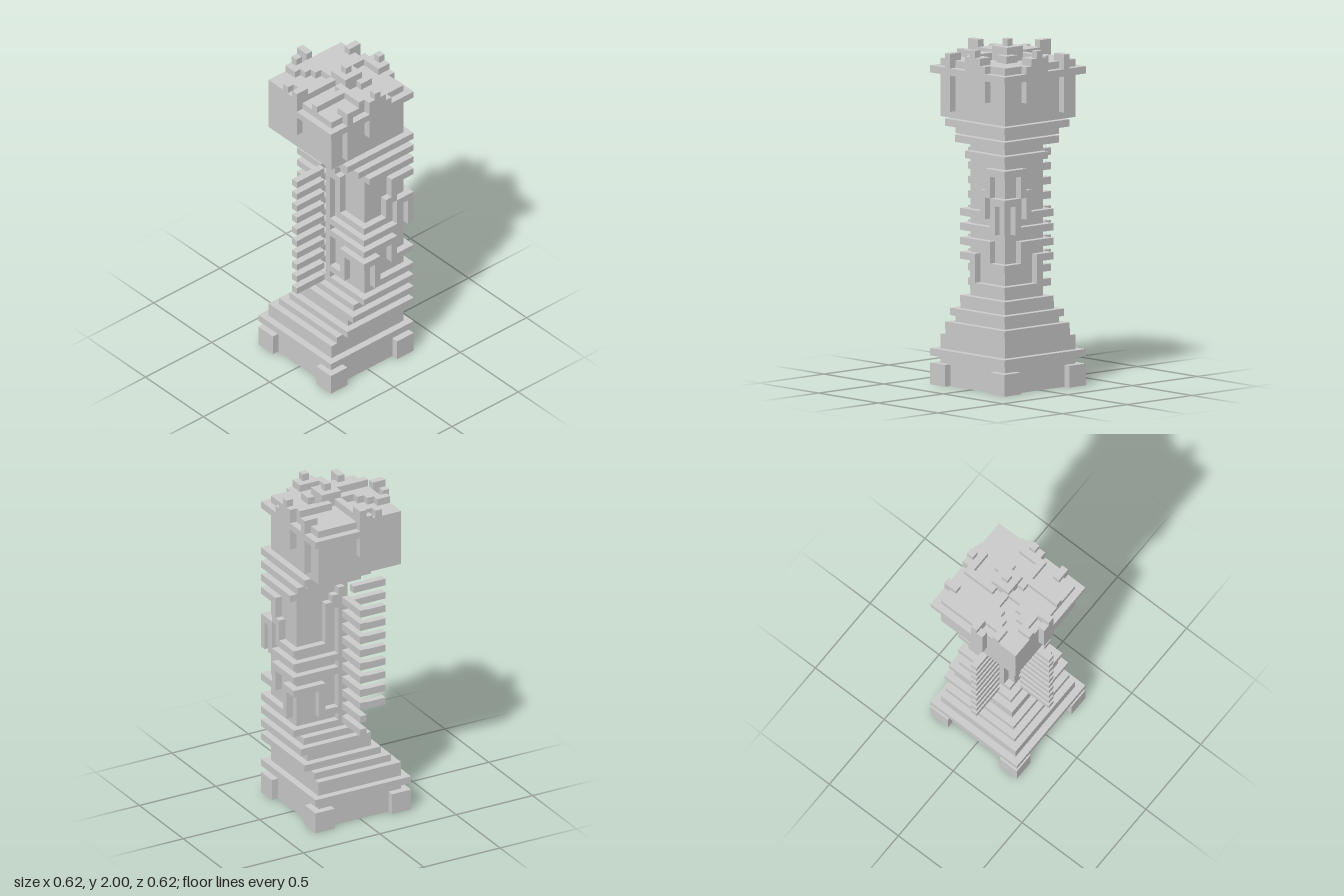
import * as THREE from 'three';

// Block grid: a counts from the right side (-x), b from the front (+z), j from the ground.
const U = 2 / 48;
const material = new THREE.MeshStandardMaterial({ color: 0xcccccc, flatShading: true });

function block(group, [a0, a1, b0, b1, j0, j1]) {
  const geo = new THREE.BoxGeometry((a1 - a0) * U, (j1 - j0) * U, (b1 - b0) * U);
  const mesh = new THREE.Mesh(geo, material);
  mesh.position.set(((a0 + a1) / 2 - 7.5) * U, (j0 + j1) / 2 * U, (7.5 - (b0 + b1) / 2) * U);
  mesh.name = group.name + 'Block';
  group.add(mesh);
}

export function createModel() {
  const model = new THREE.Group();
  model.name = 'tower';

  const part = (name, boxes, mirrored = false) => {
    const g = new THREE.Group();
    g.name = name;
    for (const c of boxes) {
      block(g, c);
      // mirror across the diagonal by swapping a and b
      if (mirrored) block(g, [c[2], c[3], c[0], c[1], c[4], c[5]]);
    }
    model.add(g);
  };
  // square layers: from, to, bottom, top
  const layers = (name, rows) => part(name, rows.map(([s, e, j0, j1]) => [s, e, s, e, j0, j1]));

  layers('steppedBase', [
    [1, 14, 0, 4], [0, 15, 4, 5], [1, 14, 5, 7], [2, 14, 7, 8], [3, 15, 8, 9],
    [4, 14, 9, 10], [4, 15, 10, 11], [5, 14, 11, 12], [6, 15, 12, 13],
  ]);
  const feet = [];
  for (const a of [0, 12]) for (const b of [0, 12]) feet.push([a, a + 3, b, b + 3, 0, 3]);
  part('cornerFoot', feet);

  layers('columnCore', [[7, 14, 13, 32]]);
  part('cornerPost', [[7, 8, 6, 7, 13, 33]], true);

  // raised bands on the front, mirrored to the right side
  part('frontBand', [
    [8, 9, 6, 7, 30, 32], [9, 10, 6, 7, 24, 31], [10, 15, 6, 7, 24, 25],
    [8, 15, 6, 7, 22, 23], [8, 15, 6, 7, 20, 21],
    [10, 15, 6, 7, 18, 19], [10, 11, 6, 7, 14, 18], [8, 10, 6, 7, 14, 15],
  ], true);

  // raised bands on the left side, mirrored to the back
  part('sideBand', [
    [14, 15, 7, 11, 24, 25], [14, 15, 10, 11, 25, 28], [14, 15, 11, 12, 27, 31], [14, 15, 12, 15, 30, 31],
    [14, 15, 7, 13, 22, 23], [14, 15, 12, 13, 23, 27], [14, 15, 13, 15, 26, 27], [14, 15, 14, 15, 22, 26],
    [14, 15, 7, 12, 20, 21], [14, 15, 11, 12, 17, 20], [14, 15, 12, 15, 17, 18],
    [14, 15, 7, 9, 18, 19], [14, 15, 8, 9, 14, 18], [14, 15, 9, 15, 14, 15],
  ], true);

  // ladder of free bars beside the column
  const bars = [];
  for (let j = 13; j <= 31; j += 2) bars.push([7, 8, 0, 5, j, j + 1]);
  part('ladderBar', bars, true);

  layers('steppedNeck', [
    [7, 15, 32, 33], [7, 14, 33, 34], [5, 15, 34, 35], [4, 14, 35, 36], [3, 15, 36, 37],
  ]);

  layers('head', [[1, 14, 37, 45]]);
  part('headTrim', [
    [8, 15, 0, 1, 43, 44], [14, 15, 1, 15, 43, 44], // ledge
    [6, 8, 0, 1, 40, 46],                           // front panel
    [14, 15, 3, 4, 38, 46],                         // narrow side panel
    [14, 15, 7, 11, 40, 45], [14, 15, 7, 10, 45, 46], // wide side panel
  ], true);

  // low walls on the roof
  part('roofWall', [
    [7, 8, 1, 7, 45, 46], [6, 7, 2, 5, 45, 46], [5, 6, 2, 4, 45, 46], [4, 5, 1, 3, 45, 46],
    [6, 7, 9, 14, 45, 46], [7, 10, 13, 14, 45, 46],
    [3, 4, 13, 14, 45, 46],
  ], true);
  part('roofWall', [[9, 11, 9, 11, 45, 46], [10, 11, 1, 6, 45, 46]]);

  part('crownTooth', [[7, 8, 0, 2, 46, 47], [14, 15, 8, 9, 46, 47]], true);
  layers('crownPeak', [[7, 10, 45, 47], [8, 9, 47, 48]]);

  return model;
}
